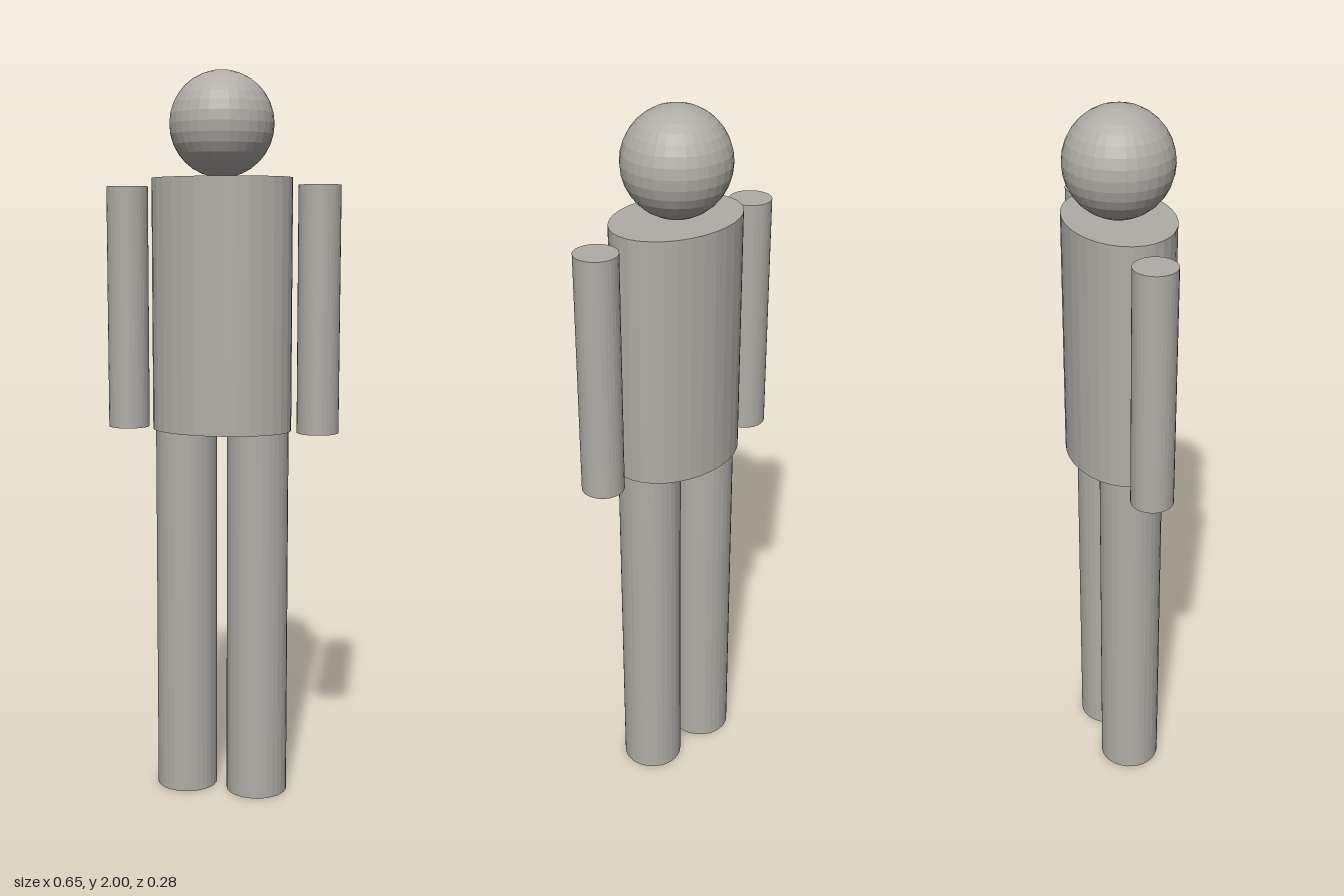
import * as THREE from 'three';

export function createModel() {
  const model = new THREE.Group();
  model.name = 'figure';
  const grey = new THREE.MeshStandardMaterial({ color: 0xb0ada7, flatShading: true });
  grey.name = 'warm grey';

  function add(name, geometry, x, y) {
    const mesh = new THREE.Mesh(geometry, grey);
    mesh.name = name;
    mesh.position.set(x, y, 0);
    model.add(mesh);
    return mesh;
  }

  // Upright capped cylinder from y0 to y1
  function column(name, radius, x, y0, y1) {
    return add(name, new THREE.CylinderGeometry(radius, radius, y1 - y0, 32), x, (y0 + y1) / 2);
  }

  // Head: faceted ball resting on the torso
  add('head', new THREE.SphereGeometry(0.1415, 32, 16), 0, 1.8585);

  // Torso: elliptical cylinder
  const torso = column('torso', 1, 0, 1.032, 1.717);
  torso.geometry.scale(0.194, 1, 0.1415);

  // Limbs, mirrored
  for (const [side, s] of [['left', 1], ['right', -1]]) {
    column(side + 'Arm', 0.057, s * 0.269, 1.032, 1.696);
    column(side + 'Leg', 0.085, s * 0.102, 0, 1.032);
  }
  return model;
}
